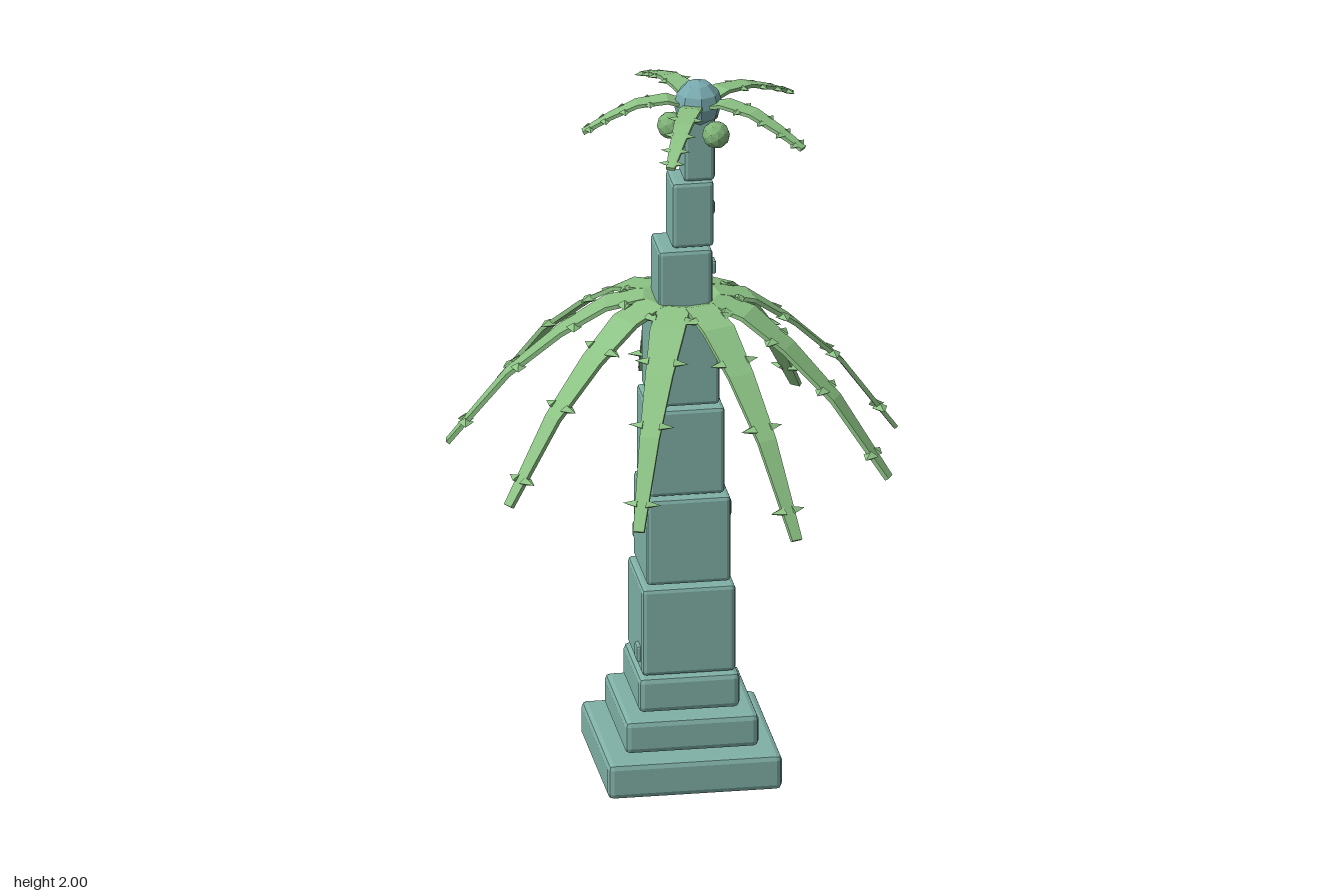
import * as THREE from 'three';
import { RoundedBoxGeometry } from 'three/addons/geometries/RoundedBoxGeometry.js';

const material = (color) => new THREE.MeshStandardMaterial({ color, flatShading: true });
const trunkMat = material(0x7fb0a6);
const capMat = material(0x78a9ae);
const leafMat = material(0x8cc284);
const fruitMat = material(0x7fb377);

function add(parent, name, geometry, mat, x, y, z) {
  const mesh = new THREE.Mesh(geometry, mat);
  mesh.name = name;
  mesh.position.set(x, y, z);
  parent.add(mesh);
  return mesh;
}

const block = (w, h, d, r) => new RoundedBoxGeometry(w, h, d, 1, r);

// Linear sample of a list of [radius, height, width] rings at t in 0..1
function sample(rings, t) {
  const f = t * (rings.length - 1);
  const i = Math.min(Math.floor(f), rings.length - 2);
  return rings[i].map((v, k) => THREE.MathUtils.lerp(v, rings[i + 1][k], f - i));
}

// Thin drooping strip running along +z, with pairs of thorns on its edges
function makeFrond(rings, thickness, thornSpots, thornSize) {
  const frond = new THREE.Group();
  frond.name = 'frond';
  const geo = new THREE.BoxGeometry(1, 1, 1, 1, 1, rings.length - 1);
  const pos = geo.attributes.position;
  for (let i = 0; i < pos.count; i++) {
    const t = pos.getZ(i) + 0.5;
    const [r, y, w] = sample(rings, t);
    const a = sample(rings, Math.max(t - 0.1, 0));
    const b = sample(rings, Math.min(t + 0.1, 1));
    const slope = Math.atan2(b[1] - a[1], b[0] - a[0]);
    const n = pos.getY(i) * thickness;
    pos.setXYZ(i, pos.getX(i) * w, y + n * Math.cos(slope), r - n * Math.sin(slope));
  }
  geo.computeVertexNormals();
  add(frond, 'blade', geo, leafMat, 0, 0, 0);

  const thornGeo = new THREE.ConeGeometry(thornSize * 0.55, thornSize, 4);
  for (const t of thornSpots) {
    const [r, y, w] = sample(rings, t);
    for (const side of [-1, 1]) {
      const thorn = add(frond, 'thorn', thornGeo, leafMat, side * (w / 2 + thornSize * 0.35), y, r);
      thorn.rotation.z = -side * Math.PI / 2;
      thorn.scale.x = 0.55;
    }
  }
  return frond;
}

// Ring of fronds, evenly spaced; each has its own reach and tip drop
function makeCrown(name, x, z, top, startDeg, profile, variations, thickness, spots, thornSize) {
  const crown = new THREE.Group();
  crown.name = name;
  crown.position.set(x, top, z);
  const reach = profile[profile.length - 1][0];
  const drop = -profile[profile.length - 1][1];
  variations.forEach(([len, fall], i) => {
    const rings = profile.map(([r, y, w]) => [r * len / reach, y < 0 ? y * fall / drop : y, w]);
    const frond = makeFrond(rings, thickness, spots, thornSize);
    const angle = THREE.MathUtils.degToRad(startDeg + i * 360 / variations.length);
    frond.rotation.y = Math.PI / 2 - angle;
    crown.add(frond);
  });
  return crown;
}

export function createModel() {
  const model = new THREE.Group();
  model.name = 'steppedPalmTower';

  // Stepped base: width, bottom, top
  [[0.476, 0, 0.102], [0.366, 0.107, 0.202], [0.277, 0.206, 0.308]].forEach(([w, y0, y1]) =>
    add(model, 'baseStep', block(w, y1 - y0, w, 0.016), trunkMat, 0.011, (y0 + y1) / 2, 0.012));

  // Trunk blocks: width, bottom, top, x, z
  const trunk = [
    [0.256, 0.31, 0.563, 0.011, 0.013],
    [0.231, 0.567, 0.817, 0.013, 0.011],
    [0.21, 0.82, 1.073, 0.009, 0.009],
    [0.186, 1.077, 1.357, 0.009, 0.011],
    [0.148, 1.35, 1.525, 0.011, 0.011],
    [0.116, 1.528, 1.72, 0.032, 0.021],
    [0.087, 1.72, 1.91, 0.05, 0.033],
  ];
  trunk.forEach(([w, y0, y1, x, z]) =>
    add(model, 'trunkBlock', block(w, y1 - y0, w, 0.012), trunkMat, x, (y0 + y1) / 2, z));

  // Studs on trunk faces: x, y, z
  const studs = [
    [0.138, 0.465, 0.032], [0.126, 0.76, 0.047], [0.112, 0.9, -0.03],
    [0.084, 1.465, 0.053], [0.088, 1.62, 0.005], [0.09, 1.845, 0.037],
    [-0.09, 0.365, -0.113], [-0.08, 0.64, -0.102], [0.005, 0.96, -0.094],
    [0.005, 1.2, -0.08], [-0.035, 1.42, -0.062], [0.065, 1.56, -0.036],
    [-0.115, 0.365, 0.09], [-0.101, 0.73, 0.03],
  ];
  studs.forEach(([x, y, z], i) => {
    const onBack = i >= 6 && i < 12;
    const size = y > 1.4 ? 0.038 : 0.046;
    add(model, 'stud', block(onBack ? size : 0.026, size, onBack ? 0.026 : size, 0.006), trunkMat, x, y, z);
  });

  // Large lower crown of nine fronds
  const bigProfile = [[0, -0.02, 0.06], [0.1, 0.005, 0.085], [0.2, -0.02, 0.095],
    [0.32, -0.105, 0.075], [0.46, -0.235, 0.054], [0.62, -0.45, 0.03]];
  const bigFronds = [[0.63, 0.47], [0.605, 0.47], [0.61, 0.46], [0.6, 0.44], [0.64, 0.48],
    [0.607, 0.44], [0.6, 0.455], [0.63, 0.425], [0.64, 0.41]];
  model.add(makeCrown('lowerCrown', 0.01, 0.01, 1.36, -90, bigProfile, bigFronds,
    0.012, [0.3, 0.54, 0.76, 0.94], 0.04));

  // Small upper crown of five fronds
  const smallProfile = [[0, -0.025, 0.045], [0.09, 0.002, 0.06], [0.18, -0.008, 0.05],
    [0.26, -0.04, 0.038], [0.34, -0.08, 0.024]];
  const smallFronds = [[0.34, 0.075], [0.33, 0.08], [0.35, 0.065], [0.31, 0.085], [0.353, 0.06]];
  model.add(makeCrown('upperCrown', 0.05, 0.033, 1.948, -33, smallProfile, smallFronds,
    0.01, [0.4, 0.62, 0.8, 0.94], 0.027));

  // Round fruits under the upper crown
  const fruitGeo = new THREE.IcosahedronGeometry(0.038, 1);
  [[0.09, 0.106], [0.09, -0.069], [-0.02, 0.02]].forEach(([x, z]) =>
    add(model, 'fruit', fruitGeo, fruitMat, x, 1.868, z));

  // Faceted cap
  add(model, 'cap', new THREE.SphereGeometry(0.066, 8, 6), capMat, 0.052, 1.934, 0.034);

  return model;
}
